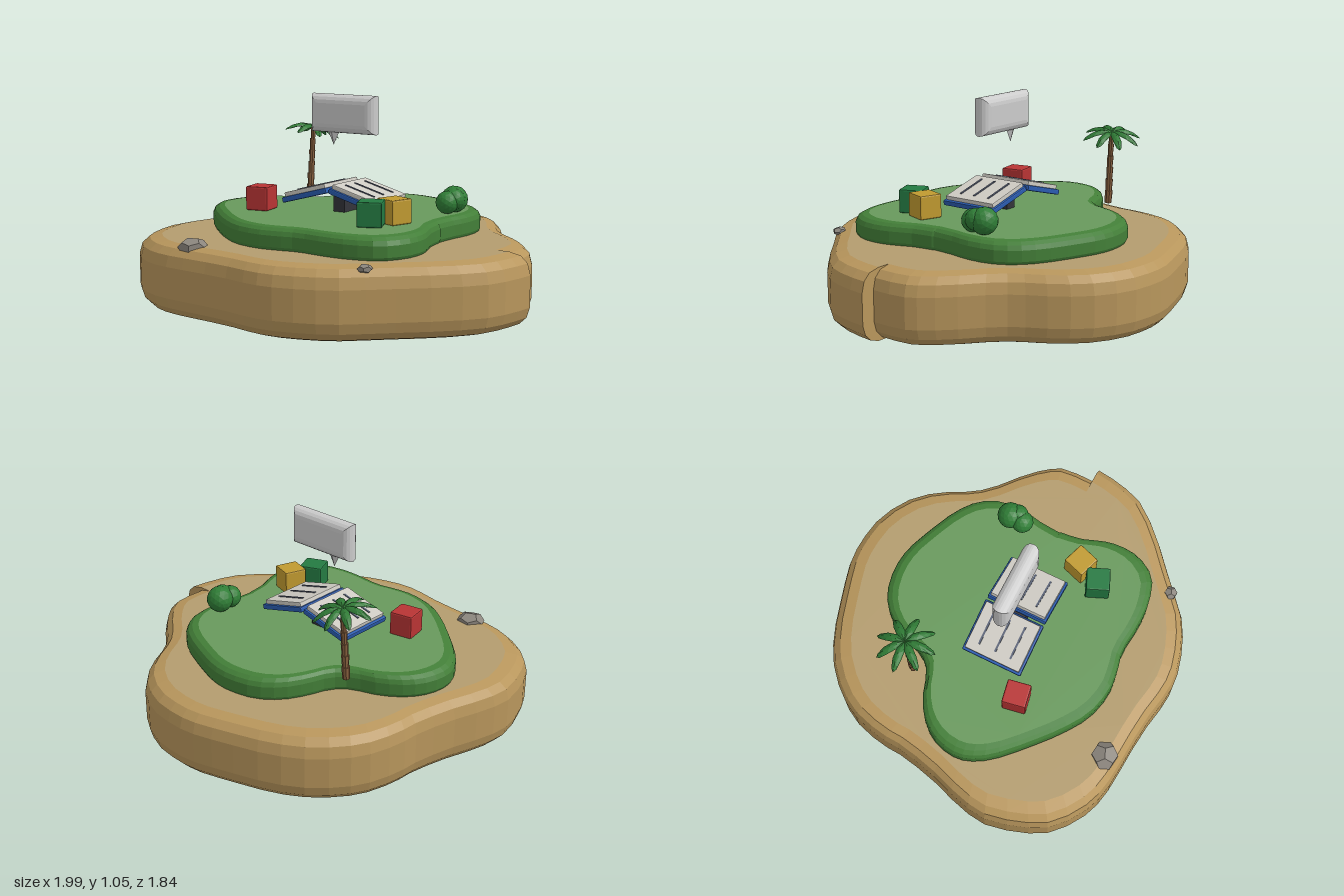
import * as THREE from 'three';
import { RoundedBoxGeometry } from 'three/addons/geometries/RoundedBoxGeometry.js';

const mat = (color, flatShading = true) =>
  new THREE.MeshStandardMaterial({ color, flatShading, side: THREE.DoubleSide });

function add(parent, name, geometry, material, x = 0, y = 0, z = 0) {
  const m = new THREE.Mesh(geometry, material);
  m.name = name;
  m.position.set(x, y, z);
  parent.add(m);
  return m;
}

const CX = -0.045, CZ = 0.05; // centre of the island

// Outline as x, z pairs, smoothed by a spline and left open at the +x seam
function outline(flat, n) {
  const pts = [];
  for (let i = 0; i < flat.length; i += 2) pts.push(new THREE.Vector2(flat[i], flat[i + 1]));
  return new THREE.SplineCurve(pts).getPoints(n);
}
const scaled = (pts, s) => pts.map(p => new THREE.Vector2(CX + (p.x - CX) * s, CZ + (p.y - CZ) * s));

// Wall lofted through [scale, y] rings
function wall(pts, profile) {
  const pos = [], idx = [], n = pts.length;
  profile.forEach(([s, y]) => scaled(pts, s).forEach(p => pos.push(p.x, y, p.y)));
  for (let r = 0; r < profile.length - 1; r++)
    for (let i = 0; i < n; i++) {
      const a = r * n + i, b = r * n + (i + 1) % n, d = a + n, c = b + n;
      idx.push(a, d, b, b, d, c);
    }
  const g = new THREE.BufferGeometry();
  g.setAttribute('position', new THREE.Float32BufferAttribute(pos, 3));
  g.setIndex(idx);
  g.computeVertexNormals();
  return g;
}

function cap(pts, s, up) {
  const p2 = scaled(pts, s).map(p => new THREE.Vector2(p.x, up ? -p.y : p.y));
  return new THREE.ShapeGeometry(new THREE.Shape(p2)).rotateX(up ? -Math.PI / 2 : Math.PI / 2);
}

function layer(parent, name, pts, profile, sideColor, topColor) {
  const g = new THREE.Group();
  g.name = name;
  const lo = profile[0], hi = profile[profile.length - 1];
  add(g, name + 'Side', wall(pts, profile), mat(sideColor));
  add(g, name + 'Top', cap(pts, hi[0], true), mat(topColor), 0, hi[1], 0);
  add(g, name + 'Bottom', cap(pts, lo[0], false), mat(sideColor), 0, lo[1], 0);
  parent.add(g);
}

function makePalm() {
  const palm = new THREE.Group();
  palm.name = 'palmTree';
  // leaning trunk of stacked tapered segments
  const n = 6, bark = mat(0x8a6240);
  for (let i = 0; i < n; i++) {
    const r = 0.021 - i * 0.0013;
    const t = (i + 0.5) / n;
    const seg = add(palm, 'trunkSegment', new THREE.CylinderGeometry(r, r - 0.003, 0.066, 8), bark,
      -0.505 + 0.01 * t, 0.455 + 0.375 * t, -0.297 - 0.02 * t);
    seg.rotation.x = -0.055;
  }
  // crown of arched, drooping fronds
  const crown = new THREE.Group();
  crown.name = 'crown';
  crown.position.set(-0.497, 0.83, -0.318);
  crown.rotation.set(-0.15, 0, -0.12);
  const frond = new THREE.SphereGeometry(1, 10, 6).scale(0.08, 0.007, 0.023).translate(0.075, 0, 0);
  const p = frond.attributes.position;
  for (let i = 0; i < p.count; i++) {
    const x = p.getX(i);
    p.setY(i, p.getY(i) + 0.4 * x - 4.2 * x * x - 0.35 * Math.abs(p.getZ(i)));
  }
  frond.computeVertexNormals();
  const green = mat(0x2f7a35);
  for (let i = 0; i < 8; i++)
    add(crown, 'frond', frond, green).rotation.y = 0.1 + i * Math.PI / 4;
  palm.add(crown);
  return palm;
}

function makeBook() {
  const book = new THREE.Group();
  book.name = 'openBook';
  add(book, 'bookStand', new THREE.BoxGeometry(0.065, 0.1, 0.11), mat(0x33333a), CX, 0.512, CZ);
  const cover = mat(0x2a5cb0), paper = mat(0xcfccc4), ink = mat(0x5c6478);
  for (const s of [-1, 1]) {
    const half = new THREE.Group();
    half.name = s < 0 ? 'rightHalf' : 'leftHalf';
    half.position.set(CX, 0.574, CZ);
    half.rotation.z = -s * 0.26;
    add(half, 'cover', new RoundedBoxGeometry(0.278, 0.028, 0.325, 1, 0.006), cover, s * 0.143, 0.014, 0);
    add(half, 'pages', new RoundedBoxGeometry(0.255, 0.024, 0.302, 1, 0.005), paper, s * 0.14, 0.038, 0);
    for (const z of [-0.09, 0, 0.085])
      add(half, 'textLine', new THREE.BoxGeometry(0.175, 0.006, 0.01), ink, s * 0.137, 0.051, z);
    book.add(half);
  }
  return book;
}

function makeBubble() {
  const g = new THREE.Group();
  g.name = 'speechBubble';
  const grey = mat(0xcccccc);
  const w = 0.145, h = 0.052;
  const panel = new THREE.Shape([[-w, -h], [w, -h], [w, h], [-w, h]].map(a => new THREE.Vector2(...a)));
  const geo = new THREE.ExtrudeGeometry(panel, {
    depth: 0.01, bevelSize: 0.045, bevelThickness: 0.04, bevelSegments: 4,
  }).translate(0, 0, -0.005);
  add(g, 'panel', geo, grey, CX, 0.957, CZ);
  // four-sided pointer below the panel
  add(g, 'pointer', new THREE.ConeGeometry(0.045, 0.09, 4).rotateX(Math.PI).scale(1, 1, 0.6),
    grey, -0.113, 0.842, CZ);
  return g;
}

export function createModel() {
  const model = new THREE.Group();
  model.name = 'island';

  // sand base
  const sand = outline([
    0.995, 0.05, 0.97, 0.2, 0.91, 0.35, 0.76, 0.51, 0.57, 0.67, 0.42, 0.8, 0.27, 0.87, 0.11, 0.91,
    -0.02, 0.905, -0.21, 0.87, -0.45, 0.85, -0.61, 0.83, -0.74, 0.78, -0.88, 0.67, -0.95, 0.53,
    -0.995, 0.35, -0.97, 0.19, -0.91, 0, -0.87, -0.19, -0.86, -0.32, -0.82, -0.48, -0.74, -0.61,
    -0.61, -0.73, -0.45, -0.81, -0.26, -0.87, -0.1, -0.915, 0.03, -0.923, 0.19, -0.9, 0.35, -0.82,
    0.47, -0.695, 0.55, -0.55, 0.63, -0.44, 0.78, -0.31, 0.88, -0.2, 0.92, -0.11, 0.92, 0.05], 56);
  layer(model, 'sand', sand, [[0.9, 0], [0.95, 0.015], [0.985, 0.05], [1, 0.1], [1, 0.255],
    [0.985, 0.31], [0.95, 0.343], [0.89, 0.356]], 0xb8965c, 0xb39c6e);

  // grass plateau
  const grass = outline([
    0.51, 0.05, 0.525, 0.16, 0.565, 0.27, 0.58, 0.37, 0.56, 0.48, 0.485, 0.58, 0.35, 0.62, 0.22, 0.625,
    0.06, 0.61, -0.05, 0.63, -0.17, 0.64, -0.315, 0.605, -0.45, 0.52, -0.58, 0.41, -0.715, 0.28,
    -0.785, 0.175, -0.805, 0.08, -0.78, -0.03, -0.715, -0.12, -0.61, -0.19, -0.475, -0.24,
    -0.405, -0.32, -0.365, -0.43, -0.3, -0.54, -0.2, -0.615, -0.065, -0.645, 0.06, -0.635,
    0.19, -0.59, 0.35, -0.52, 0.46, -0.44, 0.525, -0.33, 0.535, -0.19, 0.515, -0.08, 0.505, 0.04], 64);
  layer(model, 'grass', grass, [[0.985, 0.35], [1, 0.37], [1, 0.425], [0.985, 0.447],
    [0.955, 0.461], [0.91, 0.466]], 0x437f38, 0x68995c);

  model.add(makePalm(), makeBook(), makeBubble());

  // toy blocks: colour, x, z, turn
  for (const [name, color, x, z, turn] of [
    ['redBlock', 0xb83434, -0.425, 0.245, 0.18],
    ['yellowBlock', 0xc09a30, 0.355, 0.225, -0.33],
    ['greenBlock', 0x247a42, 0.3, 0.347, 0.4]])
    add(model, name, new RoundedBoxGeometry(0.122, 0.122, 0.122, 1, 0.008), mat(color), x, 0.527, z)
      .rotation.y = turn;

  // bush
  const bush = new THREE.Group();
  bush.name = 'bush';
  const leafGreen = mat(0x2f7d36);
  for (const [x, y, z, r] of [[0.438, 0.53, -0.22, 0.068], [0.435, 0.522, -0.15, 0.058], [0.455, 0.535, -0.185, 0.055]])
    add(bush, 'foliage', new THREE.IcosahedronGeometry(r, 2), leafGreen, x, y, z);
  model.add(bush);

  // rocks
  const stone = mat(0x8c867e);
  for (const [x, y, z, r] of [[-0.455, 0.352, 0.755, 0.075], [0.49, 0.345, 0.695, 0.037]]) {
    const rock = add(model, 'rock', new THREE.DodecahedronGeometry(r).scale(1, 0.58, 0.95), stone, x, y, z);
    rock.rotation.y = 0.4;
  }
  return model;
}
